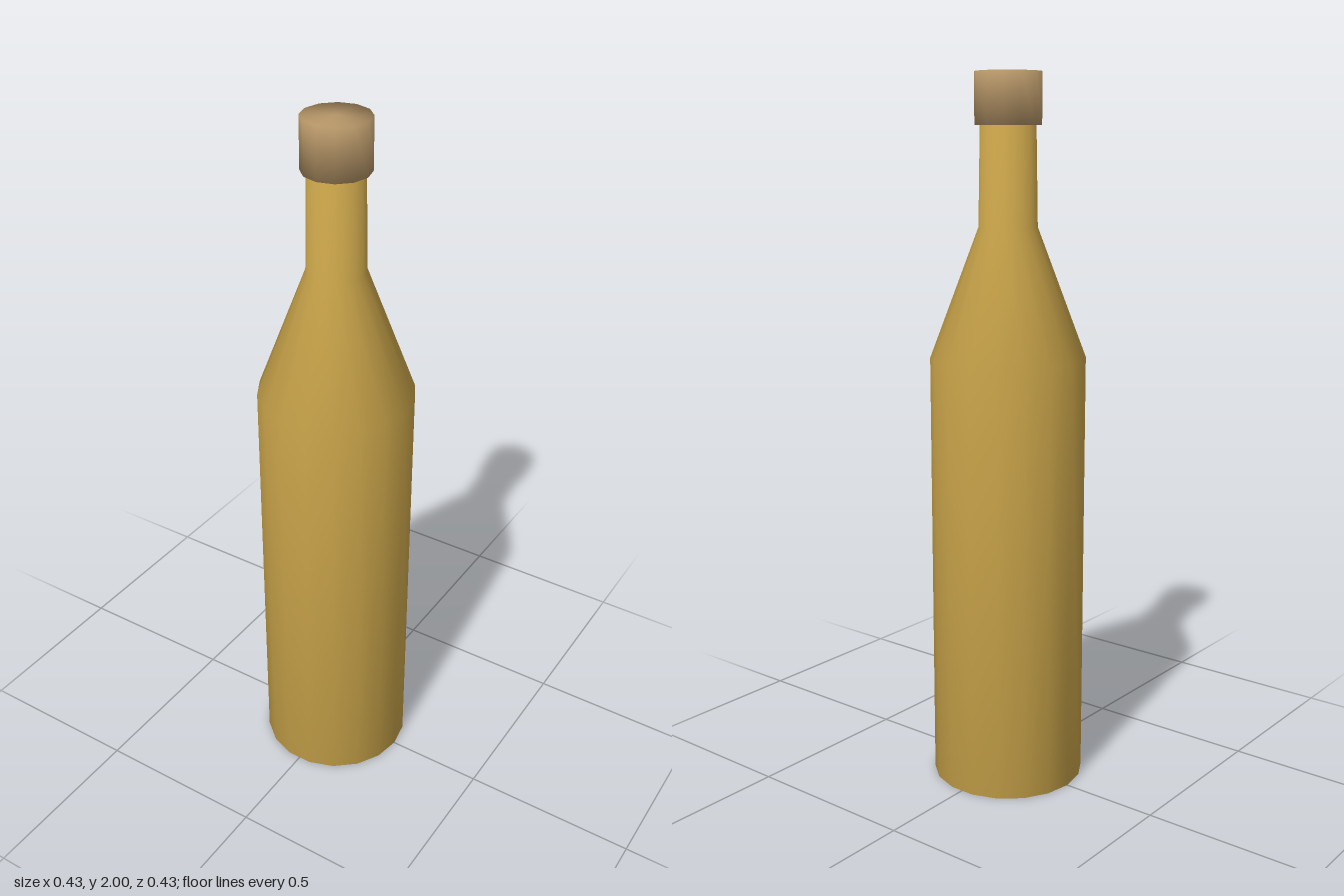
import * as THREE from 'three';

const glass = new THREE.MeshStandardMaterial({ color: 0xc8a349 });
glass.name = 'amber glass';
const cork = new THREE.MeshStandardMaterial({ color: 0xb59567 });
cork.name = 'tan cork';

// Closed turned part from [radius, height] pairs, bottom to top, with a corner on the x axis
function turned(name, profile, sides, material) {
  const points = profile.map(([r, y]) => new THREE.Vector2(r, y));
  const mesh = new THREE.Mesh(new THREE.LatheGeometry(points, sides, Math.PI / 2), material);
  mesh.name = name;
  return mesh;
}

export function createModel() {
  const bottle = new THREE.Group();
  bottle.name = 'bottle';

  // Base, straight body, sloping shoulder and slightly tapered neck
  bottle.add(turned('bottleBody', [
    [0, 0], [0.217, 0], [0.217, 1.23], [0.081, 1.59], [0.076, 1.88], [0, 1.88],
  ], 18, glass));

  // Stopper over the mouth
  bottle.add(turned('stopper', [
    [0, 1.86], [0.092, 1.86], [0.092, 2], [0, 2],
  ], 12, cork));

  return bottle;
}
